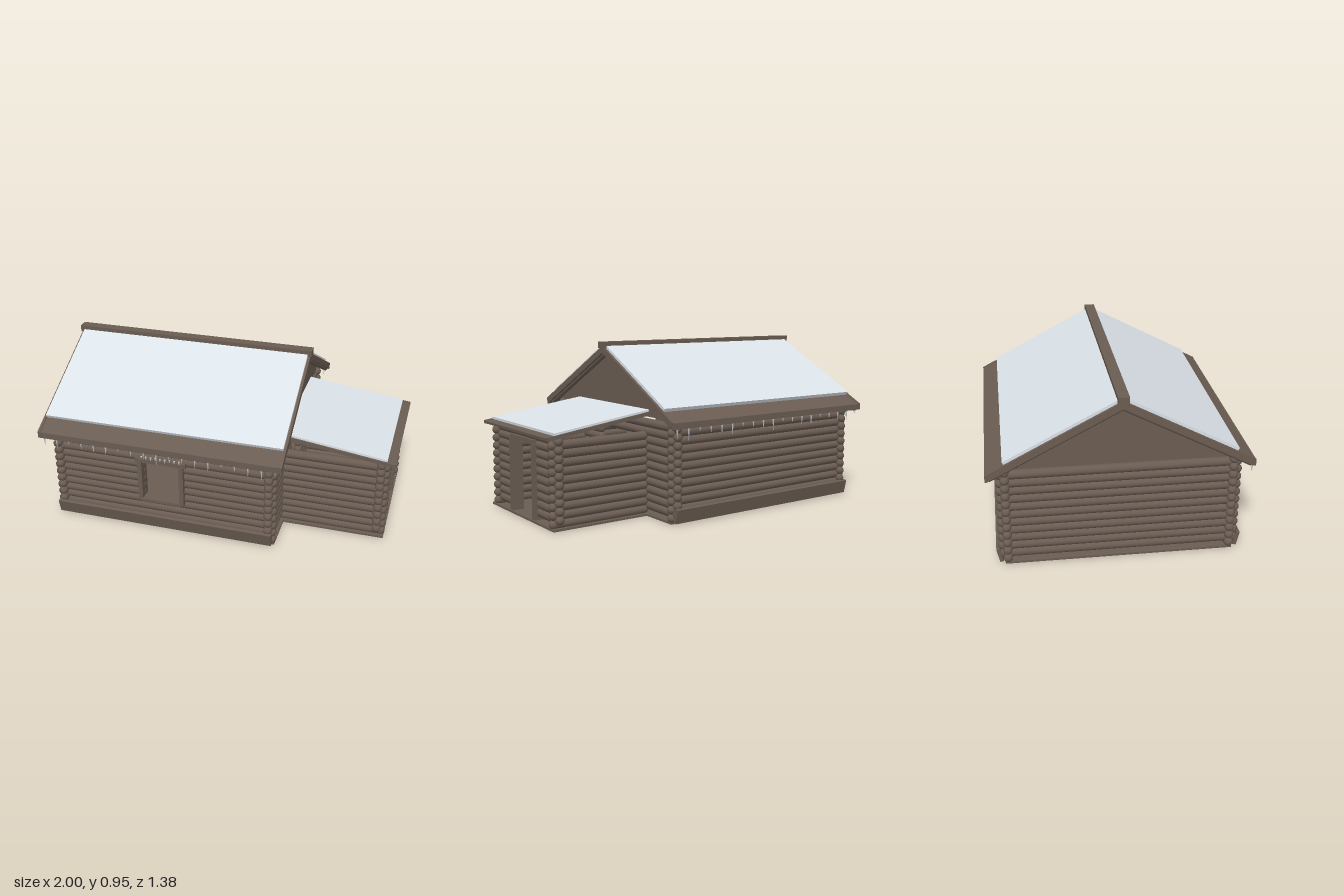
import * as THREE from 'three';

const wood = new THREE.MeshStandardMaterial({ color: 0x6a5c52 });
wood.name = 'weatheredWood';
const snow = new THREE.MeshStandardMaterial({ color: 0xdde4ea });
snow.name = 'snow';
const ice = new THREE.MeshStandardMaterial({ color: 0xb9c2c9 });
ice.name = 'ice';

const R = 0.0255, PITCH = 0.0465;
const X0 = -0.95, X1 = 0.39;        // cabin log tips
const WX0 = -0.905, WX1 = 0.345;    // cabin end wall centres
const WZ = 0.595, PZ = 0.34, PX = 0.92; // cabin side, porch side, porch front
const ROOF_X = -0.28;

function add(parent, geo, mat, name, x = 0, y = 0, z = 0) {
  const m = new THREE.Mesh(geo, mat);
  m.name = name;
  m.position.set(x, y, z);
  parent.add(m);
  return m;
}

function box(parent, name, mat, x0, x1, y0, y1, z0, z1) {
  return add(parent, new THREE.BoxGeometry(x1 - x0, y1 - y0, z1 - z0), mat, name,
    (x0 + x1) / 2, (y0 + y1) / 2, (z0 + z1) / 2);
}

// round-ended log along x or z
function log(parent, axis, a, b, y, across) {
  const geo = new THREE.CapsuleGeometry(R, b - a - 2 * R, 4, 12);
  const mid = (a + b) / 2;
  if (axis === 'x') {
    geo.rotateZ(Math.PI / 2);
    add(parent, geo, wood, 'log', mid, y, across);
  } else {
    geo.rotateX(Math.PI / 2);
    add(parent, geo, wood, 'log', across, y, mid);
  }
}

// stacked log wall, with an optional opening {a, b, y0, y1}
function logWall(parent, name, axis, a, b, across, count, firstY, hole) {
  const g = new THREE.Group();
  g.name = name;
  parent.add(g);
  for (let i = 0; i < count; i++) {
    const y = firstY + i * PITCH;
    if (hole && y > hole.y0 && y < hole.y1) {
      log(g, axis, a, hole.a, y, across);
      log(g, axis, hole.b, b, y, across);
    } else log(g, axis, a, b, y, across);
  }
}

// sloping board in the xy plane whose top runs from (xa, ya) to (xb, yb)
function slope(parent, name, mat, xa, ya, xb, yb, thick, width, z = 0) {
  const len = Math.hypot(xb - xa, yb - ya);
  const geo = new THREE.BoxGeometry(len, thick, width);
  geo.translate(0, -thick / 2, 0);
  const m = add(parent, geo, mat, name, (xa + xb) / 2, (ya + yb) / 2, z);
  m.rotation.z = Math.atan2(yb - ya, xb - xa);
  return m;
}

function icicle(parent, x, y, z, len) {
  const geo = new THREE.ConeGeometry(0.006, len, 6);
  geo.rotateX(Math.PI);
  add(parent, geo, ice, 'icicle', x, y - len / 2, z);
}

export function createModel() {
  const model = new THREE.Group();
  model.name = 'logCabin';

  // floors
  box(model, 'cabinFloor', wood, X0 + 0.01, X1 - 0.01, 0, 0.012, -0.61, 0.61);
  box(model, 'porchFloor', wood, X1 - 0.01, 0.965, 0, 0.012, -0.38, 0.38);

  // cabin walls
  const win = { a: -0.385, b: -0.175, y0: 0.19, y1: 0.44 };
  logWall(model, 'frontWall', 'x', X0, X1, WZ, 12, 0.03, win);
  logWall(model, 'backWall', 'x', X0, X1, -WZ, 12, 0.03);
  const door = { a: -0.13, b: 0.13, y0: 0, y1: 0.43 };
  logWall(model, 'leftEndWall', 'z', -0.645, 0.645, WX1, 11, 0.053, door);
  logWall(model, 'rightEndWall', 'z', -0.645, 0.645, WX0, 11, 0.053);

  // porch walls
  for (const s of [1, -1])
    logWall(model, 'porchSideWall', 'x', 0.35, 0.97, s * PZ, 10, 0.03);
  logWall(model, 'porchFrontWall', 'z', -0.39, 0.39, PX, 10, 0.053, door);

  // door frame
  for (const s of [1, -1])
    box(model, 'doorPost', wood, PX - 0.032, PX + 0.038, 0.008, 0.43,
      s * 0.135 - 0.014, s * 0.135 + 0.014);
  box(model, 'doorLintel', wood, PX - 0.032, PX + 0.035, 0.428, 0.452, -0.14, 0.14);

  // window frame with frozen drips along its top
  for (const x of [-0.403, -0.157])
    box(model, 'windowPost', wood, x - 0.013, x + 0.013, 0.18, 0.45, WZ - 0.03, WZ + 0.045);
  box(model, 'windowLintel', wood, -0.43, -0.13, 0.428, 0.455, WZ - 0.03, WZ + 0.04);
  box(model, 'windowSill', wood, -0.4, -0.16, 0.178, 0.195, WZ - 0.03, WZ + 0.052);
  for (let i = 0; i < 9; i++)
    icicle(model, -0.39 + i * 0.028, 0.468, WZ + 0.038, 0.02 + 0.008 * (i % 3));

  // slanted skirting boards, front and back
  for (const s of [1, -1]) {
    const b = add(model, new THREE.BoxGeometry(1.3, 0.08, 0.02), wood, 'skirtingBoard',
      ROOF_X, 0.048, s * 0.637);
    b.rotation.x = s * 0.22;
  }

  // gables
  const tri = new THREE.Shape([[-0.66, 0.556], [0.66, 0.556], [0, 0.9]]
    .map(([x, y]) => new THREE.Vector2(x, y)));
  for (const x of [WX0, WX1]) {
    const geo = new THREE.ExtrudeGeometry(tri, { depth: 0.03, bevelEnabled: false });
    geo.translate(0, 0, -0.015);
    geo.rotateY(Math.PI / 2);
    add(model, geo, wood, 'gable', x);
  }

  // the two halves of the main roof
  for (const s of [1, -1]) {
    const half = new THREE.Group();
    half.name = s > 0 ? 'frontRoof' : 'backRoof';
    half.position.x = ROOF_X;
    half.rotation.y = -s * Math.PI / 2;
    model.add(half);
    slope(half, 'roofBoards', wood, 0, 0.925, 0.69, 0.56, 0.022, 1.41);
    slope(half, 'roofSnow', snow, 0.01, 0.942, 0.603, 0.629, 0.024, 1.395);
    for (const e of [1, -1]) {
      slope(half, 'bargeBoard', wood, 0, 0.93, 0.692, 0.564, 0.035, 0.016, e * 0.704);
      const rake = add(half, new THREE.CylinderGeometry(0.014, 0.014, 0.76, 10), wood,
        'rakeLog', 0.338, 0.708, e * 0.685);
      rake.rotation.z = Math.PI / 2 - Math.atan2(0.365, 0.69);
    }
    box(half, 'eaveBoard', wood, 0.674, 0.692, 0.528, 0.562, -0.71, 0.71);
    for (let i = 0; i < 19; i++)
      icicle(half, 0.684, 0.53, -0.675 + i * 0.075, 0.025 + 0.015 * ((i * 7) % 4));
  }
  box(model, 'ridgeBeam', wood, -1, 0.44, 0.918, 0.955, -0.029, 0.029);

  // porch roof
  slope(model, 'porchRoofBoards', wood, 0.36, 0.585, 1, 0.498, 0.014, 0.78);
  slope(model, 'porchRoofSnow', snow, 0.365, 0.598, 0.952, 0.519, 0.018, 0.762);
  for (const s of [1, -1])
    slope(model, 'porchRoofTrim', wood, 0.36, 0.588, 1, 0.501, 0.02, 0.01, s * 0.388);
  return model;
}
